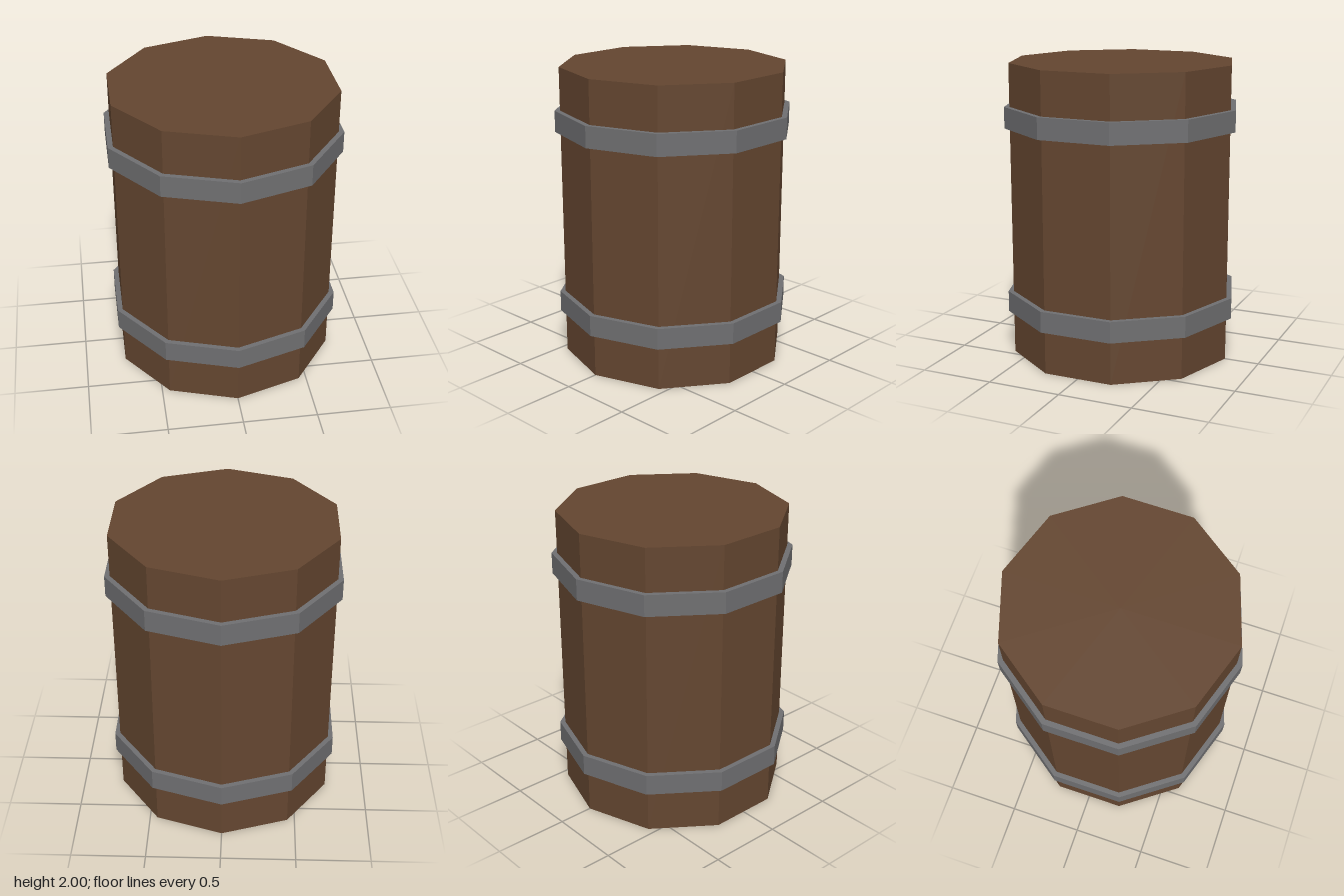
import * as THREE from 'three';

const SIDES = 10;
const BODY_RADIUS = 0.764;
const HOOP_RADIUS = 0.8;

export function createModel() {
  const group = new THREE.Group();
  group.name = 'barrel';

  const wood = new THREE.MeshStandardMaterial({ color: 0x644630, flatShading: true });
  wood.name = 'brown wood';
  const iron = new THREE.MeshStandardMaterial({ color: 0x6f6f71, flatShading: true });
  iron.name = 'grey iron';

  // Straight ten-sided body with closed ends, one corner facing the front
  const body = new THREE.Mesh(
    new THREE.CylinderGeometry(BODY_RADIUS, BODY_RADIUS, 2, SIDES), wood);
  body.name = 'barrelBody';
  body.position.y = 1;
  group.add(body);

  // Flat hoop: underside, outer band and top rim, fitted around the body
  const h = 0.0715;
  const profile = [
    [BODY_RADIUS, -h], [HOOP_RADIUS, -h], [HOOP_RADIUS, h], [BODY_RADIUS, h],
  ].map(([r, y]) => new THREE.Vector2(r, y));
  const hoopGeometry = new THREE.LatheGeometry(profile, SIDES);

  for (const [name, y] of [['lowerHoop', 0.367], ['upperHoop', 1.64]]) {
    const hoop = new THREE.Mesh(hoopGeometry, iron);
    hoop.name = name;
    hoop.position.y = y;
    group.add(hoop);
  }

  return group;
}
